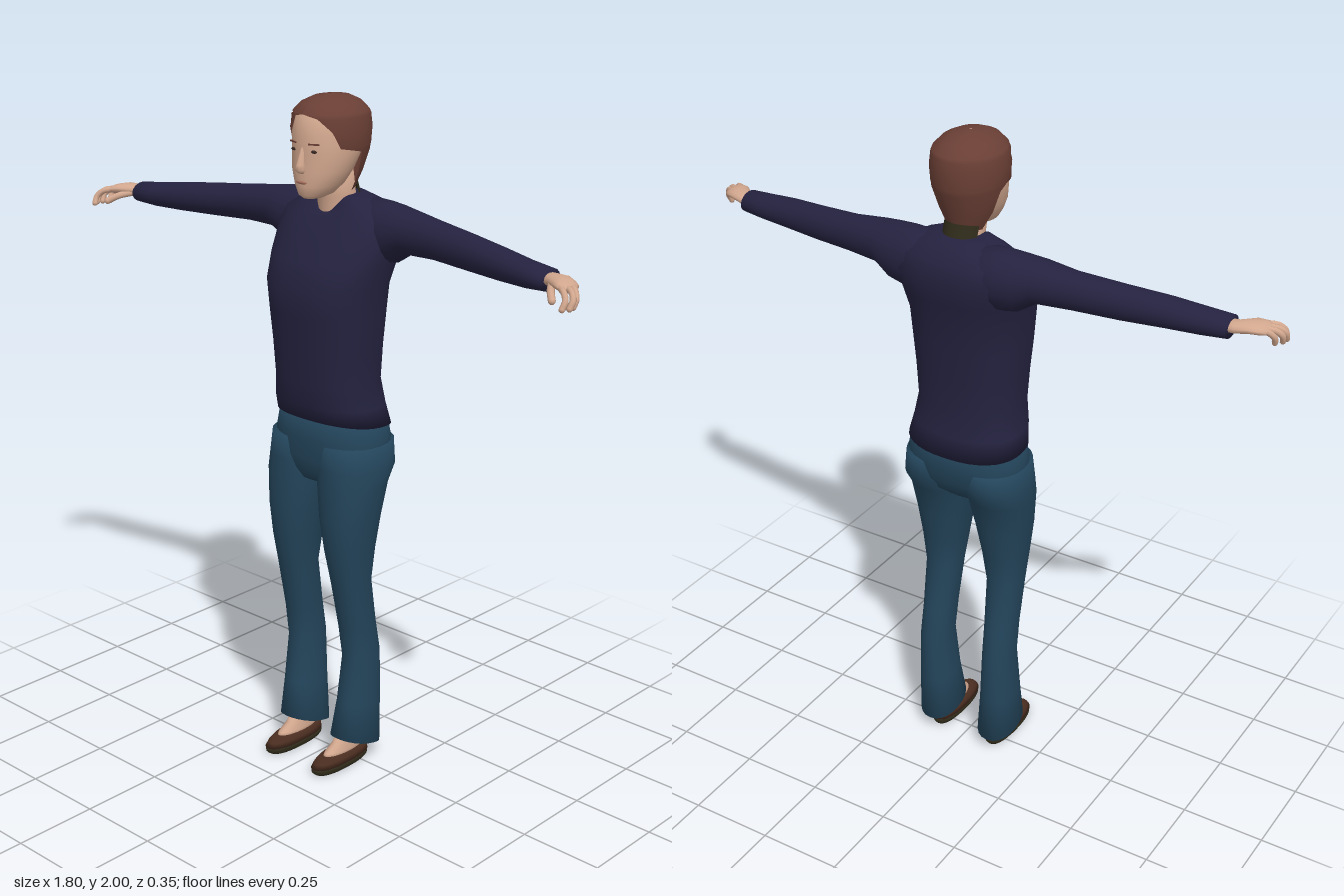
import * as THREE from 'three';

const mat = (name, color, side = THREE.FrontSide) => {
  const m = new THREE.MeshStandardMaterial({ color, side });
  m.name = name;
  return m;
};

// Skin a list of rings of points; open rings are not joined at their ends
function skin(rings, { open = false, caps = true } = {}) {
  const n = rings[0].length, pos = rings.flat(2), idx = [];
  for (let i = 0; i < rings.length - 1; i++) {
    for (let j = 0; j < (open ? n - 1 : n); j++) {
      const k = (j + 1) % n, a = i * n + j, b = i * n + k;
      idx.push(a, b, b + n, a, b + n, a + n);
    }
  }
  if (caps) {
    for (const [r, flip] of [[0, true], [rings.length - 1, false]]) {
      const c = pos.length / 3, mid = [0, 0, 0];
      for (const p of rings[r]) p.forEach((v, i) => { mid[i] += v / n; });
      pos.push(...mid);
      for (let j = 0; j < n; j++) {
        const a = r * n + j, b = r * n + (j + 1) % n;
        idx.push(c, flip ? b : a, flip ? a : b);
      }
    }
  }
  const g = new THREE.BufferGeometry();
  g.setAttribute('position', new THREE.Float32BufferAttribute(pos, 3));
  g.setIndex(idx);
  g.computeVertexNormals();
  return g;
}

const pw = (v, p) => Math.sign(v) * Math.abs(v) ** p;

// Upright form. Row: y, half width, front z, back z, x centre, tilt, front dip, z of front opening edge
function upright(rows, { n = 28, p = 1, open = false, caps = true } = {}) {
  return skin(rows.map(([y, hx, zf, zb, cx = 0, tilt = 0, dip = 0, edge = 9]) => {
    const mid = (zf + zb) / 2, half = (zf - zb) / 2;
    const start = open ? Math.acos(Math.min(1, (edge - mid) / half)) : 0;
    return Array.from({ length: open ? n + 1 : n }, (_, j) => {
      const a = start + (2 * Math.PI - 2 * start) * j / n, c = Math.cos(a);
      return [cx + hx * pw(Math.sin(a), p), y + tilt * c - dip * Math.max(0, c) ** 4, mid + half * pw(c, p)];
    });
  }), { open, caps });
}

// Sideways form. Row: x, top y, bottom y, front z, back z
function sideways(rows, n = 18) {
  return skin(rows.map(([x, yt, yb, zf, zb]) => Array.from({ length: n }, (_, j) => {
    const a = 2 * Math.PI * j / n;
    return [x, (yt + yb) / 2 + (yt - yb) / 2 * Math.cos(a), (zf + zb) / 2 + (zf - zb) / 2 * Math.sin(a)];
  })));
}

// Mirror a geometry in x and turn its faces round again
function mirrored(g) {
  const m = g.clone().scale(-1, 1, 1), ix = m.index.array;
  for (let i = 0; i < ix.length; i += 3) [ix[i], ix[i + 1]] = [ix[i + 1], ix[i]];
  m.computeVertexNormals();
  return m;
}

export function createModel() {
  const M = {
    sweater: mat('navy sweater', 0x24223f),
    jeans: mat('blue denim', 0x23445a),
    skin: mat('skin', 0xd2a78e),
    hair: mat('brown hair', 0x6a3f35, THREE.DoubleSide),
    shoe: mat('brown shoe', 0x4a2d20),
    sole: mat('dark olive', 0x2f2b1a, THREE.DoubleSide),
    eye: mat('dark eye', 0x3a2a26),
    lip: mat('lip', 0xa8705f),
  };
  const model = new THREE.Group();
  model.name = 'standingFigure';
  const add = (name, g, m) => {
    const mesh = new THREE.Mesh(g, m);
    mesh.name = name;
    model.add(mesh);
  };
  const pair = (name, g, m) => {
    add('left' + name, g, m);
    add('right' + name, mirrored(g), m);
  };

  // Sweater body with a dipped neckline, and sleeves
  add('sweaterBody', upright([
    [1.075, 0.18, 0.107, -0.139, 0, 0.014], [1.13, 0.169, 0.125, -0.126, 0, 0.006],
    [1.2, 0.157, 0.133, -0.115], [1.3, 0.163, 0.14, -0.12], [1.4, 0.172, 0.149, -0.128],
    [1.48, 0.177, 0.157, -0.138], [1.55, 0.19, 0.125, -0.155], [1.62, 0.2, 0.08, -0.174],
    [1.67, 0.185, 0.05, -0.158, 0, 0, 0.01], [1.705, 0.125, 0.032, -0.135, 0, 0, 0.03],
    [1.725, 0.066, 0.022, -0.105, 0, 0, 0.048],
  ], { n: 36, p: 0.85 }), M.sweater);
  pair('Sleeve', sideways([
    [0.06, 1.715, 1.57, 0, -0.152], [0.15, 1.715, 1.54, 0.012, -0.145], [0.2, 1.711, 1.55, 0.013, -0.137],
    [0.25, 1.705, 1.582, 0.01, -0.122], [0.35, 1.692, 1.585, 0.002, -0.1], [0.48, 1.68, 1.582, 0.018, -0.077],
    [0.6, 1.668, 1.582, 0.04, -0.055], [0.7, 1.655, 1.583, 0.052, -0.038], [0.77, 1.648, 1.588, 0.056, -0.028],
  ]), M.sweater);

  // Jeans: seat and two slightly flared legs
  add('jeansSeat', upright([
    [0.9, 0.1, 0.085, -0.07], [0.93, 0.15, 0.1, -0.105], [0.97, 0.183, 0.108, -0.128],
    [1.03, 0.183, 0.11, -0.137], [1.1, 0.168, 0.103, -0.128],
  ], { p: 0.85 }), M.jeans);
  pair('JeansLeg', upright([
    [0.07, 0.042, 0.167, 0.085, -0.08, 0.026], [0.2, 0.055, 0.163, 0.065, -0.08, 0.006],
    [0.35, 0.064, 0.157, 0.047, -0.079], [0.45, 0.06, 0.157, 0.06, -0.06], [0.6, 0.052, 0.161, 0.088, -0.036],
    [0.7, 0.038, 0.17, 0.108, -0.05], [0.8, 0.02, 0.182, 0.118, -0.068], [0.9, 0.003, 0.193, 0.115, -0.092],
    [0.95, 0, 0.193, 0.112, -0.128], [1.02, 0.005, 0.185, 0.106, -0.128],
  ].map(([y, xi, xo, zf, zb, t = 0]) => [y, (xo - xi) / 2, zf, zb, (xo + xi) / 2, t]), { n: 22, p: 0.9 }), M.jeans);

  // Feet in low slip-on shoes
  const fx = 0.096;
  pair('ShoeSole', upright([
    [0, 0.034, 0.163, -0.045, fx], [0.008, 0.04, 0.173, -0.05, fx], [0.022, 0.041, 0.175, -0.051, fx],
  ], { p: 0.85 }), M.sole);
  pair('ShoeUpper', upright([
    [0.021, 0.041, 0.175, -0.051, fx], [0.036, 0.037, 0.165, -0.05, fx], [0.048, 0.031, 0.145, -0.046, fx],
  ], { p: 0.85 }), M.shoe);
  pair('Foot', upright([
    [0.035, 0.03, 0.135, -0.035, fx], [0.055, 0.028, 0.122, -0.036, fx],
    [0.075, 0.026, 0.088, -0.038, fx], [0.14, 0.025, 0.045, -0.04, fx],
  ]), M.skin);

  // Hands: palm, four curled fingers and a thumb
  pair('Palm', sideways([
    [0.75, 1.637, 1.603, 0.038, -0.01], [0.785, 1.638, 1.605, 0.045, -0.012], [0.82, 1.641, 1.61, 0.074, -0.006],
    [0.845, 1.636, 1.608, 0.084, 0.006], [0.862, 1.628, 1.609, 0.082, 0.018],
  ], 14), M.skin);
  const digit = (name, pts, r) => {
    const curve = new THREE.CatmullRomCurve3(pts.map((p) => new THREE.Vector3(...p)));
    pair(name, new THREE.TubeGeometry(curve, 8, r, 8), M.skin);
    pair(name + 'Tip', new THREE.SphereGeometry(r, 8, 6).translate(...pts.at(-1)), M.skin);
  };
  for (let k = 0; k < 4; k++) {
    const z = 0.02 + 0.018 * k, reach = [0.875, 0.889, 0.892, 0.882][k];
    digit('Finger' + (k + 1), [
      [0.845, 1.622, z], [reach - 0.015, 1.617, z + 0.015], [reach, 1.6, z + 0.028], [reach - 0.002, 1.581, z + 0.038],
    ], 0.0085);
  }
  digit('Thumb', [[0.79, 1.615, 0.035], [0.815, 1.607, 0.072], [0.838, 1.592, 0.097]], 0.01);

  // Neck, head and nose
  add('neck', upright([
    [1.64, 0.058, 0.022, -0.1], [1.68, 0.056, 0.027, -0.095], [1.72, 0.052, 0.03, -0.082], [1.79, 0.054, 0.045, -0.07],
  ]), M.skin);
  add('nape', upright([
    [1.69, 0.06, 0.024, -0.108, 0, 0, 0, -0.07], [1.76, 0.058, 0.04, -0.085, 0, 0, 0, -0.045],
  ], { n: 12, open: true, caps: false }), M.sole);
  add('head', upright([
    [1.724, 0.024, 0.1, 0.035], [1.734, 0.042, 0.113, 0.0], [1.76, 0.062, 0.117, -0.035], [1.8, 0.082, 0.117, -0.06],
    [1.85, 0.093, 0.113, -0.09], [1.9, 0.096, 0.114, -0.105], [1.95, 0.086, 0.1, -0.1], [1.98, 0.05, 0.06, -0.07],
  ]), M.skin);
  add('nose', upright([
    [1.796, 0.01, 0.122, 0.1], [1.806, 0.016, 0.136, 0.1], [1.82, 0.011, 0.132, 0.1], [1.866, 0.006, 0.115, 0.1],
  ], { n: 10 }), M.skin);

  // Short hair, parted round the face
  add('hair', upright([
    [1.735, 0.055, 0.06, -0.076, 0, 0, 0, -0.03], [1.79, 0.086, 0.1, -0.095, 0, 0, 0, -0.025],
    [1.85, 0.102, 0.112, -0.117, 0, 0, 0, -0.018], [1.865, 0.104, 0.115, -0.12, 0, 0, 0, 0.055],
    [1.91, 0.106, 0.117, -0.125, 0, 0, 0, 0.076], [1.945, 0.102, 0.113, -0.121, 0, 0, 0, 0.1],
    [1.955, 0.098, 0.11, -0.117], [1.978, 0.076, 0.088, -0.095], [1.993, 0.046, 0.052, -0.062],
    [2, 0.002, 0.002, -0.008],
  ], { n: 36, open: true, caps: false }), M.hair);

  // Eyes, brows and mouth
  pair('Eye', new THREE.SphereGeometry(1, 12, 8).scale(0.012, 0.0045, 0.004).translate(0.036, 1.857, 0.104), M.eye);
  pair('Brow', new THREE.BoxGeometry(0.032, 0.004, 0.006).rotateY(0.3).translate(0.037, 1.877, 0.105), M.hair);
  add('mouth', new THREE.SphereGeometry(1, 12, 8).scale(0.02, 0.005, 0.005).translate(0, 1.771, 0.115), M.lip);

  return model;
}
